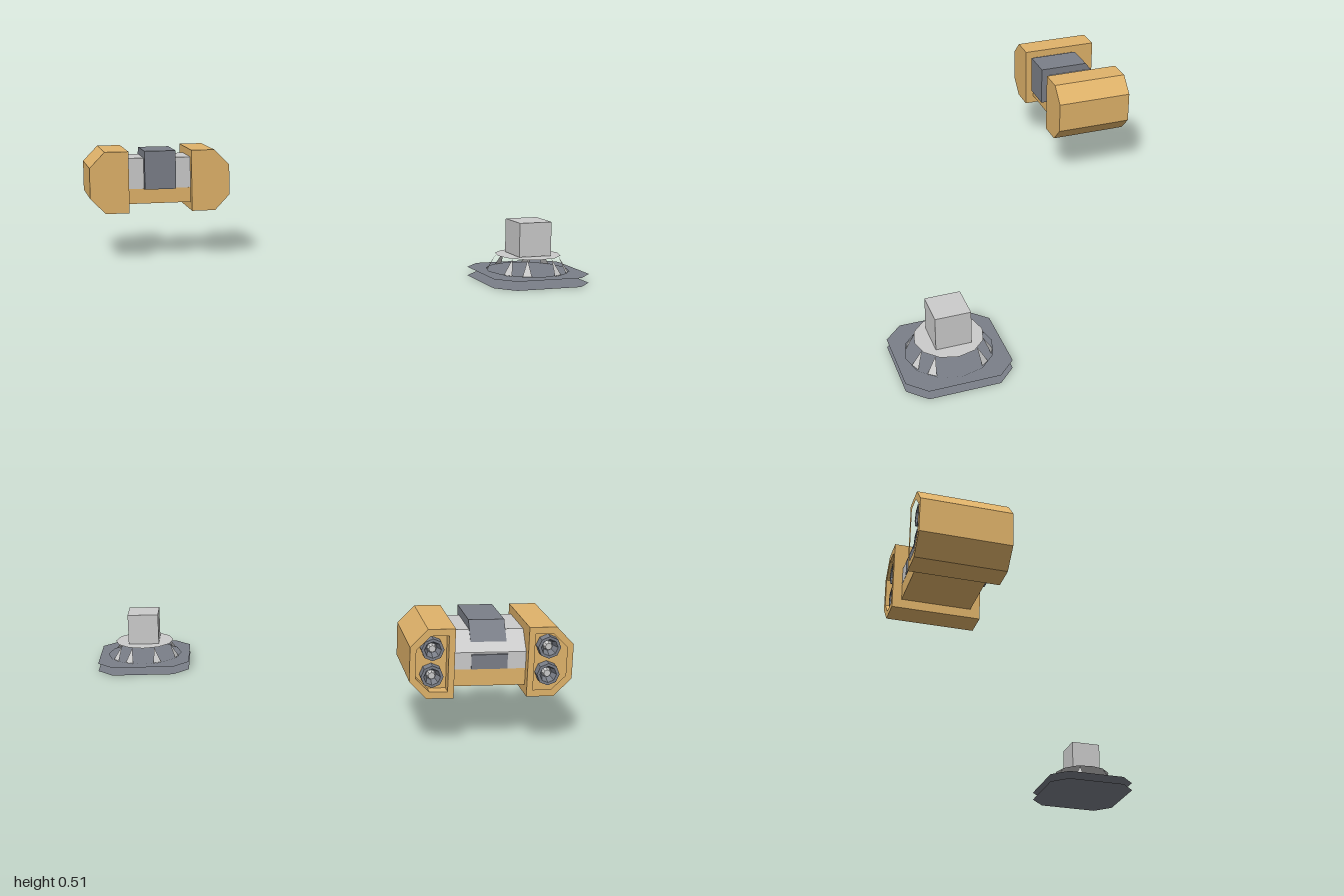
import * as THREE from 'three';

const mat = (color, side = THREE.FrontSide) =>
  new THREE.MeshStandardMaterial({ color, flatShading: true, side });
const gold = mat(0xe0b36a);
const grey = mat(0xcccccc);
const dark = mat(0x7b7f88);
const greySheet = mat(0xcccccc, THREE.DoubleSide);
const darkSheet = mat(0x7b7f88, THREE.DoubleSide);

function add(parent, name, geometry, material, x = 0, y = 0, z = 0) {
  const mesh = new THREE.Mesh(geometry, material);
  mesh.name = name;
  mesh.position.set(x, y, z);
  parent.add(mesh);
  return mesh;
}

const shapeOf = pts => new THREE.Shape(pts.map(p => new THREE.Vector2(...p)));
const extrude = (shape, depth) =>
  new THREE.ExtrudeGeometry(shape, { depth, bevelEnabled: false });

// Side profile of [-z, y] points, extruded along x
const sideProfile = (pts, width) => extrude(shapeOf(pts), width).rotateY(Math.PI / 2);

// Horizontal sheet, local origin at its centre
const sheet = shape => new THREE.ShapeGeometry(shape).rotateX(-Math.PI / 2);

// Chamfered engine pod with a recessed rear holding two nozzles
function createPod(side) {
  const pod = new THREE.Group();
  pod.name = side < 0 ? 'rightPod' : 'leftPod';
  const outline = [[0.147, 0.222], [0.257, 0.222], [0.327, 0.295],
    [0.327, 0.437], [0.257, 0.51], [0.147, 0.51]];
  const opening = [[0.172, 0.25], [0.245, 0.25], [0.302, 0.307],
    [0.302, 0.425], [0.245, 0.482], [0.172, 0.482]];
  const place = pts => shapeOf(pts.map(([x, y]) => [x * side, y]));
  const rim = place(outline);
  rim.holes.push(place(opening));
  const cx = -0.672, back = -0.727, recess = 0.05;
  add(pod, 'podBody', extrude(place(outline), 0.362 - recess), gold, cx, 0, back + recess);
  add(pod, 'podRim', extrude(rim, recess), gold, cx, 0, back);
  const bell = [[0.001, 0], [0.022, 0.005], [0.034, 0.04], [0.046, 0.04], [0.046, 0]];
  for (const y of [0.31, 0.422]) {
    const profile = bell.map(p => new THREE.Vector2(...p)).reverse();
    const nozzle = add(pod, 'nozzle', new THREE.LatheGeometry(profile, 8), darkSheet,
      cx + side * 0.234, y, back + recess);
    nozzle.rotation.x = -Math.PI / 2;
    add(pod, 'nozzleCore', new THREE.CylinderGeometry(0.014, 0.02, 0.025, 8)
      .rotateX(-Math.PI / 2), grey, cx + side * 0.234, y, back + recess - 0.0125);
  }
  return pod;
}

// Twin pods joined by a bridge
function createCarrier() {
  const carrier = new THREE.Group();
  carrier.name = 'carrier';
  carrier.add(createPod(-1), createPod(1));
  add(carrier, 'bridgeBase', new THREE.BoxGeometry(0.296, 0.07, 0.285), gold,
    -0.672, 0.295, -0.547);
  add(carrier, 'bridgeBody', sideProfile([[0.405, 0.33], [0.69, 0.33],
    [0.69, 0.4], [0.62, 0.475], [0.405, 0.475]], 0.296), grey, -0.82);
  add(carrier, 'bridgeHousing', sideProfile([[0.367, 0.33], [0.692, 0.33],
    [0.692, 0.39], [0.6, 0.51], [0.367, 0.51]], 0.146), dark, -0.745);
  return carrier;
}

// Layered pad with a raised block and leaning fins
function createPad() {
  const pad = new THREE.Group();
  pad.name = 'pad';
  pad.position.set(0.78, 0, 0.542);
  const h = 0.218, c = 0.145;
  const octagon = shapeOf([[c, -h], [h, -c], [h, c], [c, h],
    [-c, h], [-h, c], [-h, -c], [-c, -h]]);
  add(pad, 'lowerPlate', sheet(octagon), darkSheet);
  add(pad, 'upperPlate', sheet(octagon), darkSheet, 0, 0.038);
  const disc = (r, n) => new THREE.CircleGeometry(r, n).rotateX(-Math.PI / 2);
  add(pad, 'ringPlate', disc(0.18, 12), darkSheet, 0, 0.042);
  add(pad, 'topDisc', disc(0.14, 12), greySheet, 0, 0.109);
  add(pad, 'block', new THREE.BoxGeometry(0.146, 0.146, 0.146), grey, 0, 0.184);

  // Triangular fins
  for (const deg of [-157, -113, -67, -39, 39, 67, 115, 143]) {
    const fin = new THREE.BufferGeometry();
    fin.setAttribute('position', new THREE.Float32BufferAttribute(
      [0.172, 0.04, 0.02, 0.172, 0.04, -0.02, 0.134, 0.108, 0], 3));
    fin.computeVertexNormals();
    add(pad, 'fin', fin, greySheet).rotation.y = -THREE.MathUtils.degToRad(deg);
  }
  return pad;
}

export function createModel() {
  const model = new THREE.Group();
  model.name = 'carrierAndPad';
  model.add(createCarrier(), createPad());
  return model;
}
